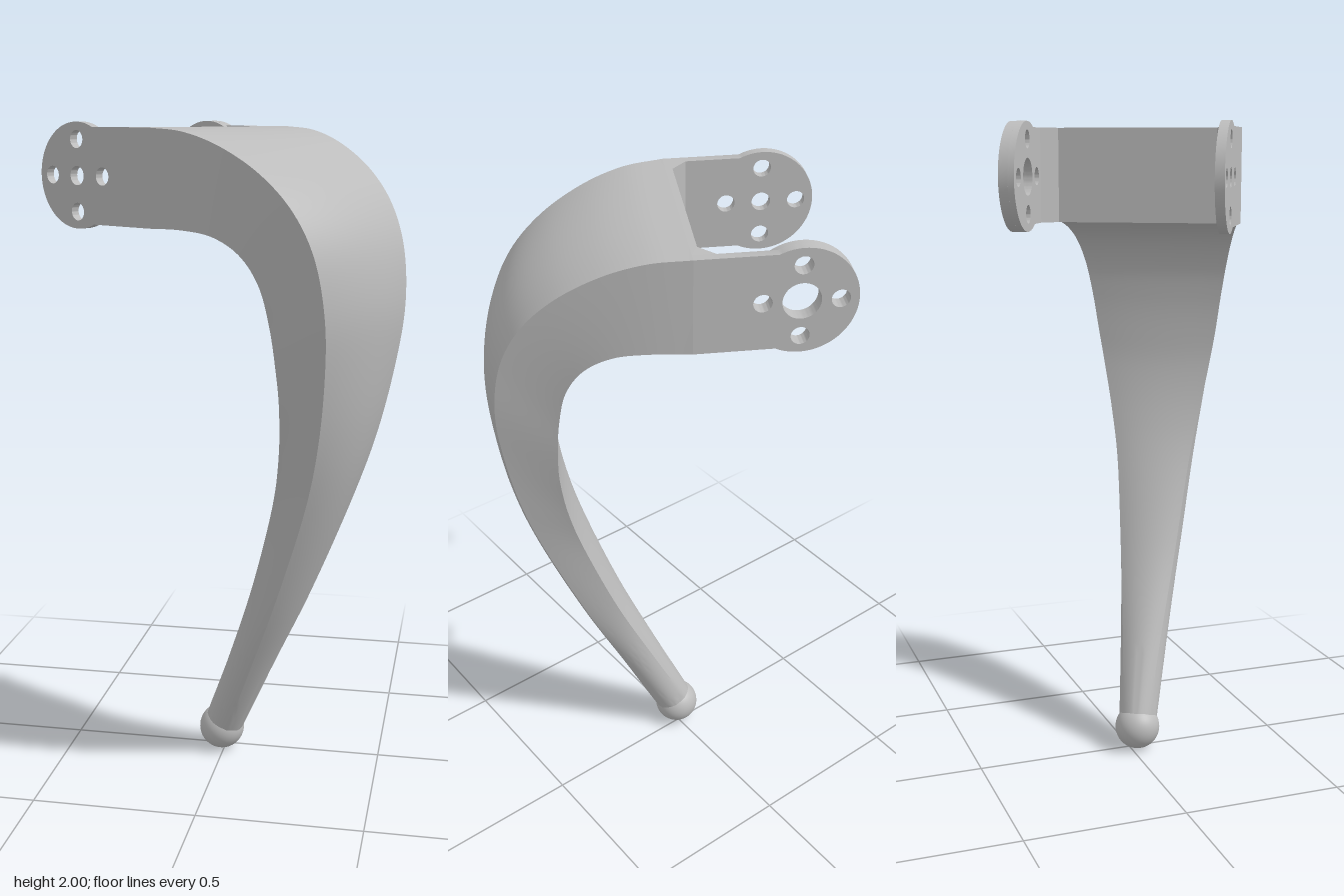
import * as THREE from 'three';
import { toCreasedNormals } from 'three/addons/utils/BufferGeometryUtils.js';

// Working frame: x runs from the hinge ears to the knee, y up, z across the leg.
const PIVOT = { x: -0.29, y: 1.845 };
const DISC = 0.155, TOP = 1.985, BOTTOM = 1.705;
const HALF = 0.312, INNER = 0.285;

// Leg stations: outer corner x, y, half width, inner corner x, y, crown of outer, inner and side faces
const STATIONS = [
  [0, 1.985, 0.312, 0, 1.705, 0, 0, 0],
  [0.12, 1.974, 0.298, 0.11, 1.705, 0.002, 0, 0],
  [0.24, 1.935, 0.279, 0.21, 1.69, 0.008, 0, 0],
  [0.36, 1.865, 0.257, 0.29, 1.642, 0.015, 0, 0],
  [0.455, 1.77, 0.235, 0.341, 1.56, 0.022, 0.003, 0],
  [0.515, 1.65, 0.215, 0.363, 1.45, 0.028, 0.006, 0],
  [0.539, 1.5, 0.197, 0.372, 1.33, 0.032, 0.01, 0],
  [0.53, 1.34, 0.176, 0.37, 1.21, 0.033, 0.013, 0],
  [0.49, 1.12, 0.148, 0.348, 1.06, 0.032, 0.017, 0],
  [0.422, 0.9, 0.12, 0.302, 0.89, 0.03, 0.02, 0.001],
  [0.296, 0.59, 0.092, 0.205, 0.62, 0.025, 0.021, 0.004],
  [0.172, 0.325, 0.064, 0.09, 0.36, 0.021, 0.02, 0.013],
  [0.062, 0.09, 0.044, -0.018, 0.13, 0.018, 0.018, 0.018],
  [0.042, 0.058, 0.041, -0.034, 0.092, 0.017, 0.017, 0.017],
];

function legGeometry(rows = 96, n = 12) {
  const curve = (a, b, c) =>
    new THREE.CatmullRomCurve3(STATIONS.map((s) => new THREE.Vector3(s[a], s[b], s[c])), false, 'catmullrom', 0.5);
  const outerCurve = curve(0, 1, 2), innerCurve = curve(3, 4, 5), crownCurve = curve(6, 7, 5);
  const ring = 4 * n, pos = [], index = [];
  for (let j = 0; j <= rows; j++) {
    const t = j / rows;
    const o = outerCurve.getPoint(t), i = innerCurve.getPoint(t), c = crownCurve.getPoint(t);
    const w = o.z, crownOut = i.z, crownIn = c.x, crownSide = c.y;
    const len = Math.hypot(o.x - i.x, o.y - i.y);
    const dx = (o.x - i.x) / len, dy = (o.y - i.y) / len;
    for (let k = 0; k < ring; k++) {
      const side = Math.floor(k / n), f = (k % n) / n, s = 2 * f - 1, arc = 1 - s * s;
      // h is the height above the inner corners, z the position across
      const [h, z] = [
        [len + crownOut * arc, s * w],
        [len * (1 - f), w + crownSide * arc],
        [-crownIn * arc, -s * w],
        [len * f, -w - crownSide * arc],
      ][side];
      pos.push(i.x + dx * h, i.y + dy * h, z);
      if (j < rows) {
        const k2 = (k + 1) % ring, a = j * ring + k, b = j * ring + k2;
        index.push(a, b, a + ring, b, b + ring, a + ring);
      }
    }
  }
  const g = new THREE.BufferGeometry();
  g.setAttribute('position', new THREE.Float32BufferAttribute(pos, 3));
  g.setIndex(index);
  return toCreasedNormals(g, 0.4);
}

// Centre hole and four screw holes around the pivot
function addHoles(shape, centreRadius) {
  const hole = (x, y, r) => shape.holes.push(new THREE.Path().absarc(x, y, r, 0, Math.PI * 2, true));
  hole(PIVOT.x, PIVOT.y, centreRadius);
  for (let k = 0; k < 4; k++) {
    const a = (k * Math.PI) / 2;
    hole(PIVOT.x + 0.105 * Math.cos(a), PIVOT.y + 0.105 * Math.sin(a), 0.026);
  }
  return shape;
}

function extrude(shape, depth) {
  const g = new THREE.ExtrudeGeometry(shape, { depth, bevelEnabled: false, curveSegments: 32 });
  return toCreasedNormals(g, 0.5);
}

// Ear outline: straight strap ending in a round disc
function earShape(centreRadius) {
  const a = Math.asin((TOP - PIVOT.y) / DISC);
  const s = new THREE.Shape();
  s.moveTo(0, BOTTOM);
  s.lineTo(0, TOP);
  s.absarc(PIVOT.x, PIVOT.y, DISC, a, Math.PI * 2 - a, false);
  s.closePath();
  return addHoles(s, centreRadius);
}

export function createModel() {
  const grey = new THREE.MeshStandardMaterial({ color: 0xbcbcbc });
  grey.name = 'light grey';
  const model = new THREE.Group();
  model.name = 'leg';
  const body = new THREE.Group();
  body.name = 'legBody';
  body.rotation.y = -Math.PI / 6;
  body.position.set(-0.013, 0, 0.0225);
  model.add(body);

  const add = (name, geometry, x = 0, y = 0, z = 0) => {
    const mesh = new THREE.Mesh(geometry, grey);
    mesh.name = name;
    mesh.position.set(x, y, z);
    body.add(mesh);
    return mesh;
  };

  add('curvedLeg', legGeometry());
  add('footBall', new THREE.SphereGeometry(0.072, 40, 24), 0.004, 0.072, 0);

  // Back wall with chamfered corners into the ears
  const plan = new THREE.Shape([
    [0, -INNER], [0, INNER], [-0.064, INNER], [-0.02, 0.24], [-0.02, -0.24], [-0.064, -INNER],
  ].map(([x, y]) => new THREE.Vector2(x, y)));
  add('backWall', extrude(plan, TOP - BOTTOM), 0, TOP, 0).rotation.x = Math.PI / 2;

  // Hinge ears; the rear one has a large bore and a thicker disc
  add('frontEar', extrude(earShape(0.028), HALF - INNER), 0, 0, INNER);
  add('rearEar', extrude(earShape(0.053), HALF - INNER), 0, 0, -HALF);
  const pad = new THREE.Shape().absarc(PIVOT.x, PIVOT.y, DISC, 0, Math.PI * 2, false);
  add('rearEarPad', extrude(addHoles(pad, 0.053), 0.018), 0, 0, -INNER);

  return model;
}
